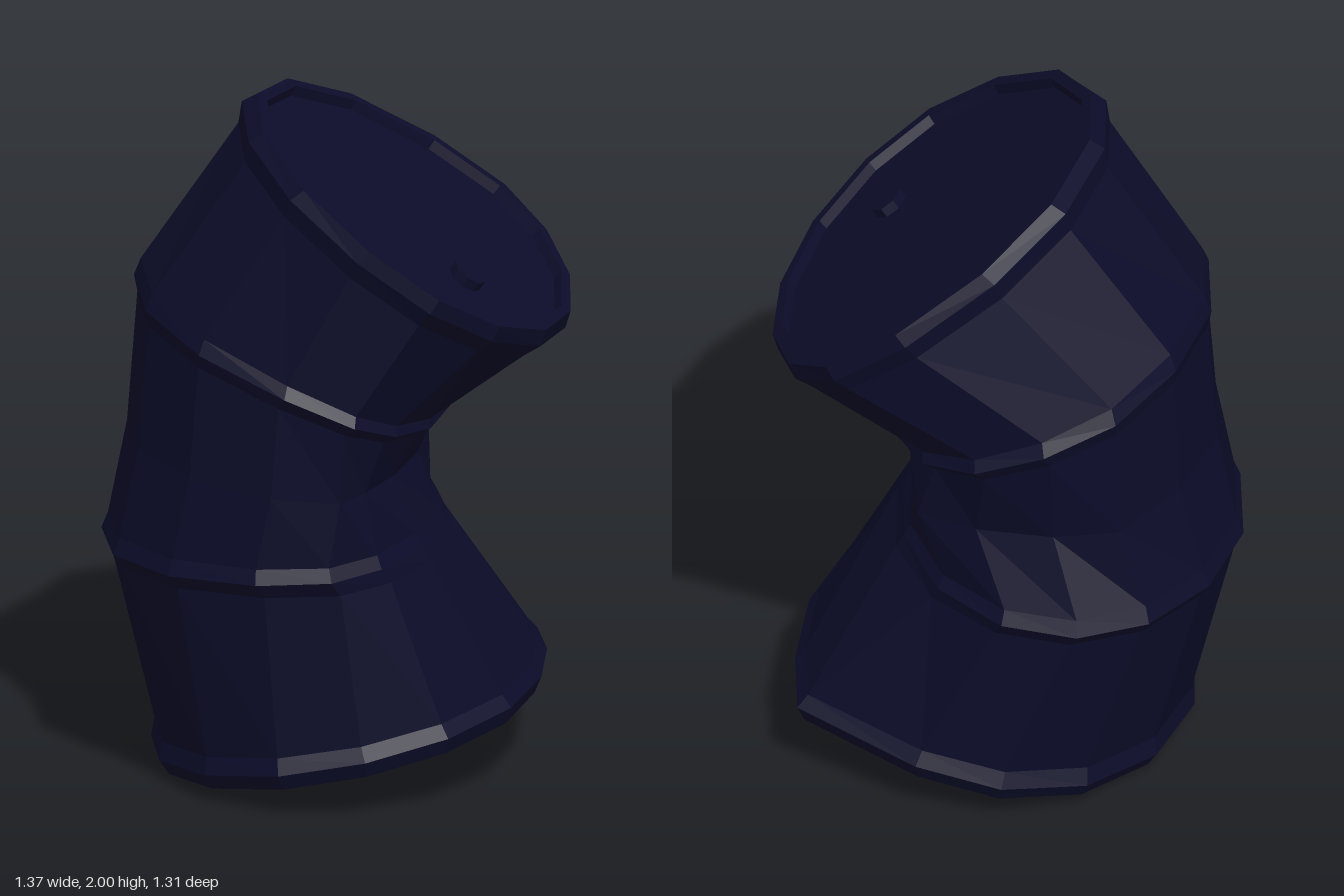
import * as THREE from 'three';

const SIDES = 14;
const material = new THREE.MeshStandardMaterial({ color: 0x0c0c2a, flatShading: true });

// Cross-section running from a -x point to a +x point, w wide in z.
// The front and back halves are shaped separately by:
//   c: where along the chord the widest line lies (above 0.5 squashes the +x side)
//   bow: how far that line is lifted above the chord
//   square: below 1 flattens the +x end
function ring(lx, ly, rx, ry, w, front = {}, back = front) {
  return Array.from({ length: SIDES }, (_, i) => {
    const a = (i / SIDES) * Math.PI * 2, k = Math.cos(a);
    const { c = 0.5, bow = 0, square = 1 } = a < Math.PI ? front : back;
    const cx = lx + (rx - lx) * c, cy = ly + (ry - ly) * c + bow;
    const t = k > 0.5 ? k ** square : k;
    const [ex, ey] = k > 0 ? [rx - cx, ry - cy] : [cx - lx, cy - ly];
    return new THREE.Vector3(cx + t * ex, cy + t * ey, Math.sin(a) * w);
  });
}

// Ring shrunk about its own centre and moved by (dx, dy), for the recessed ends.
function inset(points, scale, dx = 0, dy = 0) {
  const center = points.reduce((s, p) => s.add(p), new THREE.Vector3()).divideScalar(SIDES);
  return points.map(p => p.clone().sub(center).multiplyScalar(scale).add(center).add(new THREE.Vector3(dx, dy, 0)));
}

// Skin over a stack of rings
function loft(name, rings) {
  const pos = [];
  for (let r = 0; r < rings.length - 1; r++) {
    for (let i = 0; i < SIDES; i++) {
      const j = (i + 1) % SIDES, lo = rings[r], hi = rings[r + 1];
      for (const p of [lo[i], hi[i], hi[j], lo[i], hi[j], lo[j]]) pos.push(p.x, p.y, p.z);
    }
  }
  const geometry = new THREE.BufferGeometry();
  geometry.setAttribute('position', new THREE.Float32BufferAttribute(pos, 3));
  geometry.computeVertexNormals();
  const mesh = new THREE.Mesh(geometry, material);
  mesh.name = name;
  return mesh;
}

export function createModel() {
  const group = new THREE.Group();
  group.name = 'dentedBarrel';

  // Bottom rim, pulled out to a corner at the back of its +x end
  const bottomShape = [{}, { square: 0.27 }];
  const base = ring(-0.51, 0.003, 0.58, 0.21, 0.65, ...bottomShape);
  const rimLow = ring(-0.54, 0.045, 0.6, 0.26, 0.67, ...bottomShape);
  const bodyLow = ring(-0.53, 0.1, 0.57, 0.295, 0.645, ...bottomShape);

  // Lower hoop, its back skewed towards -x
  const lowerShape = [{ c: 0.67 }, { c: 0.47 }];
  const hoopA = [
    ring(-0.66, 0.63, 0.34, 0.69, 0.645, ...lowerShape),
    ring(-0.685, 0.67, 0.315, 0.735, 0.67, ...lowerShape),
    ring(-0.665, 0.72, 0.295, 0.77, 0.645, ...lowerShape),
  ];

  // Crushed waist, pushed in on the +x side and the back
  const waist = ring(-0.61, 1.0, 0.24, 0.93, 0.645, { c: 0.74 });
  const dents = {
    0: [0.24, 0.93, 0], 1: [0.2, 0.94, 0.28], 2: [0.14, 0.95, 0.5], 3: [0.08, 0.95, 0.62],
    13: [0.24, 0.93, -0.28], 12: [0.19, 0.94, -0.46], 11: [0.0, 0.96, -0.54],
    10: [-0.23, 0.97, -0.55], 9: [-0.42, 0.98, -0.5],
  };
  for (const i in dents) waist[i].set(...dents[i]);

  // Upper hoop, bowed upwards in front and slightly flattened at the back
  const upperShape = [{ c: 0.71, bow: 0.04 }, { c: 0.52 }];
  const hoopB = [
    ring(-0.58, 1.39, 0.29, 1.055, 0.645, ...upperShape),
    ring(-0.59, 1.44, 0.335, 1.075, 0.67, ...upperShape),
    ring(-0.57, 1.49, 0.33, 1.1, 0.645, ...upperShape),
  ];
  for (const r of hoopB) for (const i of [10, 11, 12]) r[i].z *= 0.95;

  // Top rim
  const topShape = [{ c: 0.56 }, { c: 0.63 }];
  const bodyHigh = ring(-0.285, 1.91, 0.62, 1.29, 0.645, ...topShape);
  const rimHigh = [
    ring(-0.275, 1.975, 0.67, 1.32, 0.67, ...topShape),
    ring(-0.23, 2.0, 0.685, 1.37, 0.665, ...topShape),
  ];
  const lidEdge = inset(rimHigh[1], 0.94);
  const lid = inset(rimHigh[1], 0.93, -0.017, -0.025);

  const floor = inset(base, 0.95, -0.004, 0.02);
  group.add(
    loft('bottomPlate', [inset(floor, 0), floor]),
    loft('bottomRim', [floor, inset(base, 0.96), base, rimLow, bodyLow]),
    loft('lowerWall', [bodyLow, hoopA[0]]),
    loft('lowerHoop', hoopA),
    loft('crushedWaist', [hoopA[2], waist, hoopB[0]]),
    loft('upperHoop', hoopB),
    loft('upperWall', [hoopB[2], bodyHigh]),
    loft('topRim', [bodyHigh, ...rimHigh, lidEdge, lid]),
    loft('lid', [lid, inset(lid, 0)]),
  );

  // Oval filler cap, square to the tilted lid
  const cap = new THREE.Mesh(new THREE.CylinderGeometry(0.07, 0.07, 0.05, 8), material);
  cap.name = 'fillerCap';
  cap.scale.x = 0.75;
  cap.position.set(0.405, 1.532, 0.237);
  cap.rotation.z = Math.atan2(-0.63, 0.915);
  group.add(cap);

  return group;
}
